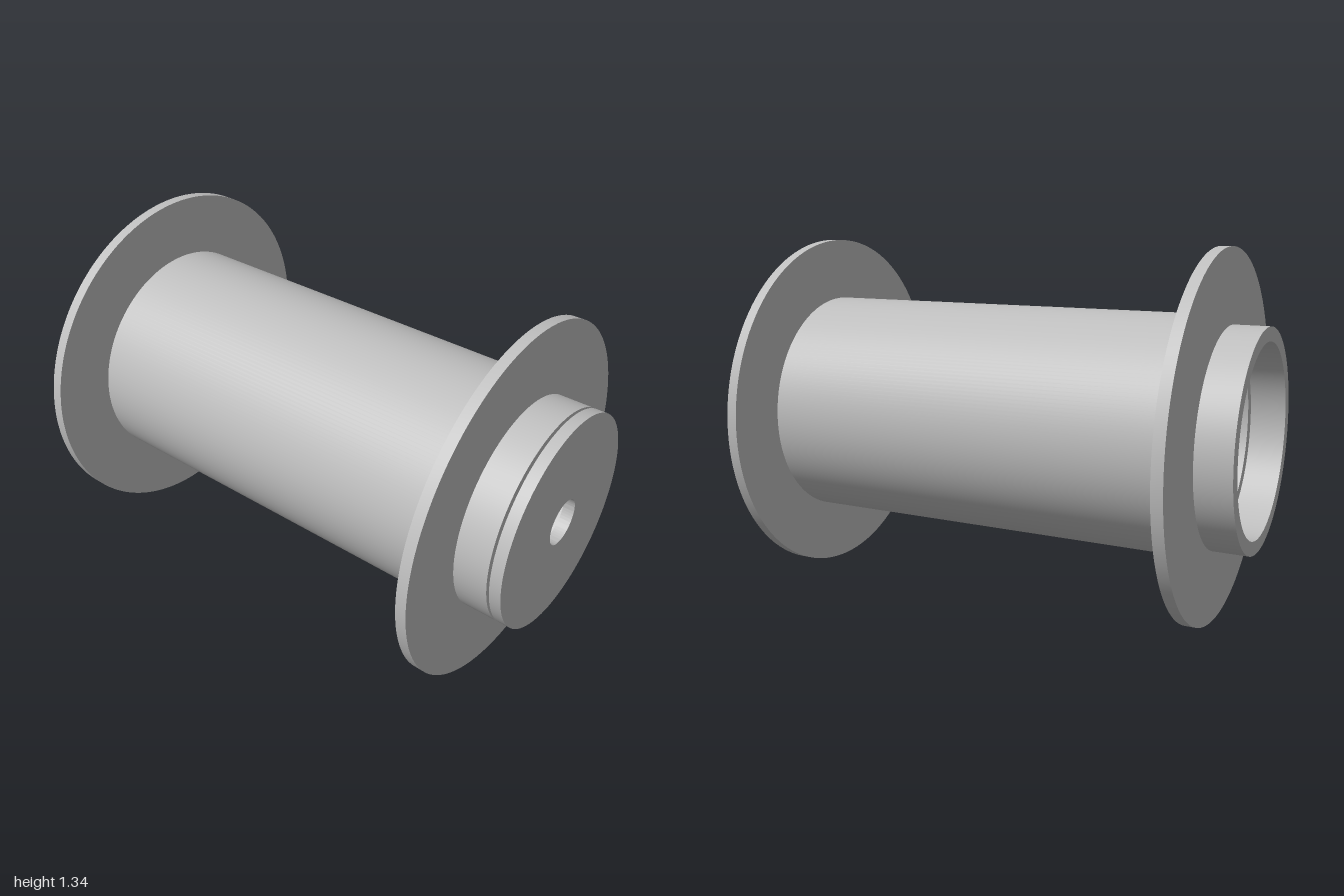
import * as THREE from 'three';
import { toCreasedNormals } from 'three/addons/utils/BufferGeometryUtils.js';

const AXIS_Y = 0.672;

// Hollow disc or tube along x, from x0 to x1
function ring(name, x0, x1, outer, inner, material) {
  const shape = new THREE.Shape().absarc(0, 0, outer, 0, Math.PI * 2, false);
  shape.holes.push(new THREE.Path().absarc(0, 0, inner, 0, Math.PI * 2, true));
  const extruded = new THREE.ExtrudeGeometry(shape, {
    depth: x1 - x0, bevelEnabled: false, curveSegments: 96,
  });
  const geometry = toCreasedNormals(extruded, 0.5);
  geometry.rotateY(Math.PI / 2);
  geometry.translate(x0, AXIS_Y, 0);
  const mesh = new THREE.Mesh(geometry, material);
  mesh.name = name;
  return mesh;
}

export function createModel() {
  const model = new THREE.Group();
  model.name = 'flangedSpool';
  const metal = new THREE.MeshStandardMaterial({ color: 0xbfbfbf });
  metal.name = 'greyMetal';

  const bore = 0.35;
  const parts = [
    // Open collar, separated from its flange by a thin gap
    ['rightCollar', -1, -0.869, 0.402, bore],
    ['rightFlange', -0.859, -0.818, 0.672, bore],
    ['barrel', -0.818, 0.78, 0.435, bore],
    ['leftFlange', 0.78, 0.82, 0.672, bore],
    ['leftCollar', 0.82, 0.947, 0.402, bore],
    // End cap with a small centre hole
    ['endCap', 0.957, 1, 0.402, 0.086],
  ];
  for (const [name, x0, x1, outer, inner] of parts) {
    model.add(ring(name, x0, x1, outer, inner, metal));
  }
  return model;
}
